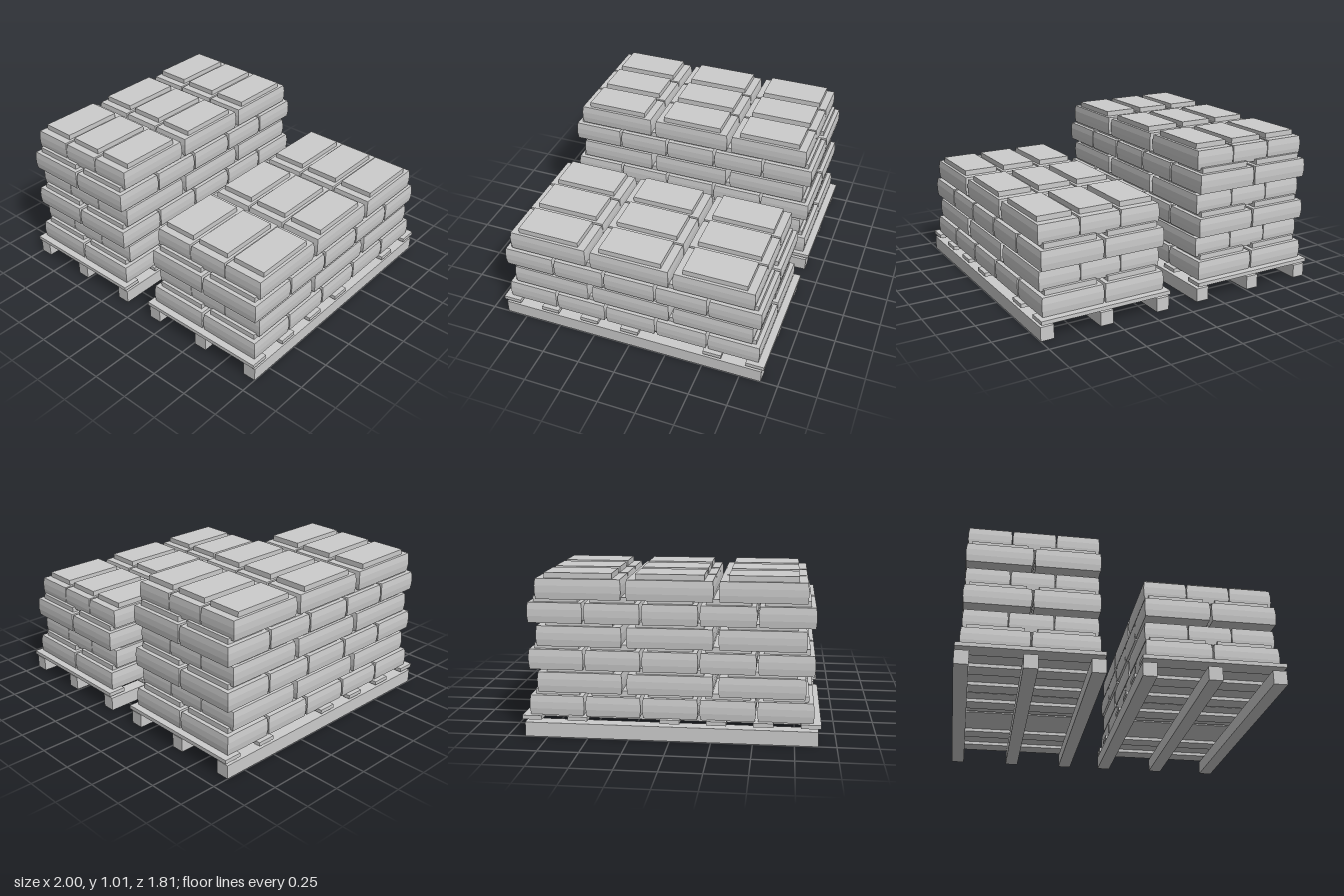
import * as THREE from 'three';

const material = new THREE.MeshStandardMaterial({ color: 0xcccccc, flatShading: true });

const BAG_H = 0.125, CAP_H = 0.035, PITCH = 0.144, BASE_Y = 0.13;

function box(name, w, h, d, x, y, z) {
  const mesh = new THREE.Mesh(new THREE.BoxGeometry(w, h, d), material);
  mesh.name = name;
  mesh.position.set(x, y, z);
  return mesh;
}

// Sack body: a box whose middle band swells slightly outwards
function sackGeometry(w, d) {
  const geo = new THREE.BoxGeometry(w, BAG_H, d, 1, 3, 1);
  const p = geo.attributes.position;
  for (let i = 0; i < p.count; i++) {
    const inset = Math.abs(p.getY(i)) > BAG_H * 0.4 ? 0.005 : 0;
    p.setX(i, p.getX(i) - Math.sign(p.getX(i)) * inset);
    p.setZ(i, p.getZ(i) - Math.sign(p.getZ(i)) * inset);
  }
  geo.computeVertexNormals();
  return geo;
}

// Two alternating layer patterns: sack size, raised top panel size, grid
const layerTypes = [
  { w: 0.415, d: 0.337, capW: 0.348, capD: 0.272, xs: [-0.212, 0.212], zs: [-0.695, -0.348, 0, 0.348, 0.695] },
  { w: 0.273, d: 0.522, capW: 0.226, capD: 0.41, xs: [-0.277, 0, 0.277], zs: [-0.553, -0.002, 0.552] },
];
for (const t of layerTypes) {
  t.bodyGeo = sackGeometry(t.w, t.d);
  t.capGeo = new THREE.BoxGeometry(t.capW, CAP_H, t.capD);
}

function createSack(t) {
  const sack = new THREE.Group();
  sack.name = 'sack';
  const body = new THREE.Mesh(t.bodyGeo, material);
  body.name = 'sackBody';
  body.position.y = BAG_H / 2;
  const cap = new THREE.Mesh(t.capGeo, material);
  cap.name = 'sackTopPanel';
  cap.position.y = BAG_H + CAP_H / 2 - 0.001;
  sack.add(body, cap);
  return sack;
}

function createPallet() {
  const pallet = new THREE.Group();
  pallet.name = 'pallet';
  // Runners along z
  for (const x of [-0.402, 0, 0.402]) pallet.add(box('runner', 0.088, 0.09, 1.78, x, 0.045, 0));
  // Deck slats across x, with one gap behind the middle
  for (const i of [-3, -2, 0, 1, 2, 3]) {
    pallet.add(box('deckSlat', 0.892, 0.025, 0.121, 0, 0.1205, i * 0.2818));
  }
  return pallet;
}

function createStack(name, layers) {
  const stack = new THREE.Group();
  stack.name = name;
  stack.add(createPallet());
  for (let i = 0; i < layers; i++) {
    const t = layerTypes[i % 2];
    const layer = new THREE.Group();
    layer.name = 'sackLayer';
    layer.position.y = BASE_Y + i * PITCH;
    for (const x of t.xs) {
      for (const z of t.zs) {
        const sack = createSack(t);
        sack.position.set(x, 0, z);
        layer.add(sack);
      }
    }
    stack.add(layer);
  }
  return stack;
}

export function createModel() {
  const model = new THREE.Group();
  model.name = 'palletsOfSacks';
  const tall = createStack('tallStack', 6);
  tall.position.x = -0.554;
  const short = createStack('shortStack', 4);
  short.position.x = 0.554;
  model.add(tall, short);
  return model;
}
